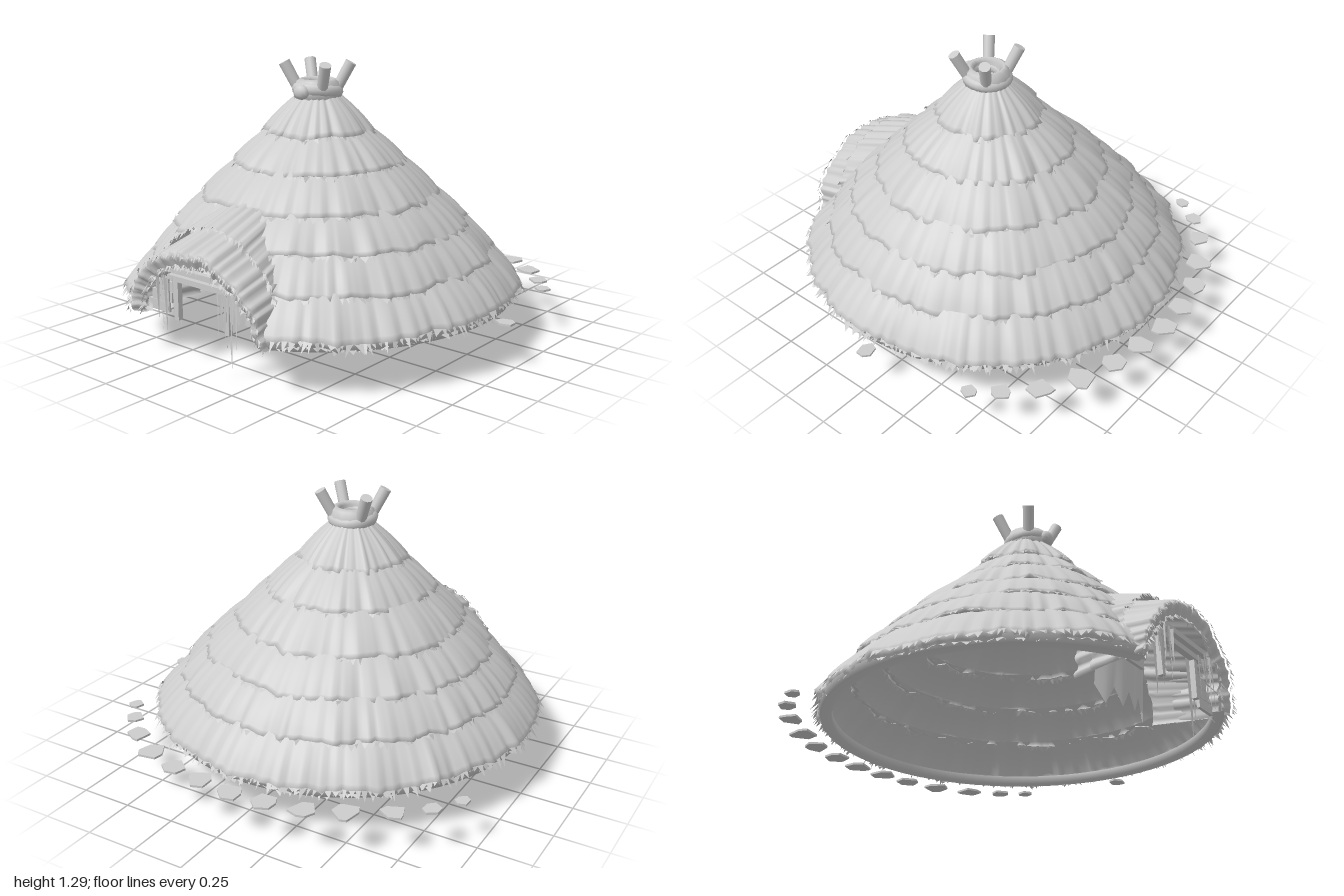
import * as THREE from 'three';

const CX = -0.03; // axis of the hut
const straw = new THREE.MeshStandardMaterial({ color: 0xcccccc, side: THREE.DoubleSide });
straw.name = 'pale grey';

const V = (x, y, z) => new THREE.Vector3(x, y, z);
const mix = THREE.MathUtils.lerp;
const hash = n => { const s = Math.sin(n * 127.1 + 11.7) * 43758.5453; return s - Math.floor(s); };
let seed = 7;
const rand = () => hash(seed++);

// smooth periodic noise, n cells over t = 0..1
function noise(t, n, k) {
  const f = t * n, i = Math.floor(f), s = f - i, w = s * s * (3 - 2 * s);
  return mix(hash((i % n) + k * 57), hash(((i + 1) % n) + k * 57), w) - 0.5;
}
// overlapping bundles: each one rises towards one side
const bundle = (t, n) => (t * n) % 1 - 0.5;

function add(group, name, geometry) {
  const m = new THREE.Mesh(geometry, straw);
  m.name = name;
  group.add(m);
  return m;
}

// surface from a rule: fn(u, v) gives a point
function sheet(fn, nu, nv) {
  const g = new THREE.PlaneGeometry(1, 1, nu, nv), p = g.attributes.position, uv = g.attributes.uv;
  for (let i = 0; i < p.count; i++) {
    const q = fn(uv.getX(i), 1 - uv.getY(i));
    p.setXYZ(i, q.x, q.y, q.z);
  }
  g.computeVertexNormals();
  return g;
}

// row of loose straw tips along an edge; dir(t) is the way they point
function fringe(edge, dir, count, length) {
  const pts = [];
  for (let i = 0; i < count; i++) {
    const t = Math.min(0.995, (i + rand() * 0.6) / count), w = (0.5 + rand()) / count;
    const a = edge(t), b = edge(Math.min(1, t + w));
    const tip = a.clone().lerp(b, rand()).addScaledVector(dir(t), length * (0.35 + rand()));
    pts.push(a, b, tip);
  }
  const g = new THREE.BufferGeometry().setFromPoints(pts);
  g.computeVertexNormals();
  return g;
}

// hem radius, hem height, half angle left open for the doorway
const tiers = [
  [0.09, 1.14, 0], [0.262, 0.96, 0], [0.412, 0.82, 0], [0.56, 0.67, 0],
  [0.695, 0.535, 0], [0.815, 0.395, 0.33], [0.935, 0.245, 0.4],
];

function roof() {
  const g = new THREE.Group();
  g.name = 'thatchedRoof';
  for (let i = 1; i < tiers.length; i++) {
    const [r0, y0] = tiers[i - 1], [r1, y1, gap] = tiers[i];
    const last = i === tiers.length - 1, cz = mix(0.115, 0.08, i / 6);
    const n = Math.round(14 + r1 * 50);
    const point = (u, v) => {
      const a = mix(gap, Math.PI * 2 - gap, u), s = Math.min(1, v / 0.8), under = Math.max(0, (v - 0.8) / 0.2);
      const rough = (0.016 * bundle(u, n) + 0.022 * noise(u, n, i) + 0.012 * noise(u, n * 3, i + 9)) * (0.3 + 0.7 * s);
      const r = mix(r0 - (i > 1 ? 0.025 : 0), r1, s) + 0.012 * Math.sin(s * Math.PI) + rough - under * (last ? 0.025 : 0.035);
      const y = mix(y0 + (i > 1 ? 0.015 : 0), y1, s) + 0.025 * noise(u, n, i + 20) * s - under * (last ? 0.035 : 0.012);
      return V(CX + r * Math.sin(a), y, cz + r * Math.cos(a));
    };
    add(g, 'thatchTier' + i, sheet(point, n * 5, 10));
    const out = t => {
      const a = mix(gap, Math.PI * 2 - gap, t) + (rand() - 0.5) * 0.8;
      return V(Math.sin(a) * 0.6, -0.8, Math.cos(a) * 0.6);
    };
    add(g, 'strawFringe' + i, fringe(t => point(t, 0.8), out, Math.round(n * 3.2), last ? 0.04 : 0.024));
    if (last) add(g, 'lowerFringe', fringe(t => point(t, 0.95), out, n * 3, 0.022));
  }
  // flat band under the eaves, open at the door
  const rim = [[0.865, 0.24], [0.865, 0.2], [0.915, 0.2], [0.925, 0.235]].map(p => new THREE.Vector2(...p));
  add(g, 'eavesBand', new THREE.LatheGeometry(rim, 96, 0.4, Math.PI * 2 - 0.8)).position.set(CX, 0, 0.08);
  return g;
}

// arched hood over the doorway, two overlapping layers and a rolled front edge
function porch() {
  const g = new THREE.Group();
  g.name = 'porchHood';
  const arch = (u, w, h, z, k) => {
    const a = Math.PI * u, c = Math.cos(a), s = Math.sin(a);
    const rough = 0.02 * noise(u, 26, k) + 0.012 * noise(u, 80, k + 3) + 0.012 * bundle(u, 22);
    return V(CX + (w + rough) * c, 0.2 + (h + rough) * s, z);
  };
  const lower = (u, v) => {
    const s = Math.min(1, v / 0.7), roll = Math.max(0, (v - 0.7) / 0.3), top = Math.sin(Math.PI * u);
    const z = mix(0.68, 0.945 + 0.04 * top, s) - roll * 0.035 + 0.015 * noise(u, 40, 5) * s;
    return arch(u, mix(0.37, 0.405, s) - 0.07 * roll, mix(0.44, 0.345, s) - 0.065 * roll, z, 40);
  };
  const upper = (u, v) => arch(u, mix(0.33, 0.40, v), mix(0.52, 0.43, v), mix(0.58, 0.83, v) + 0.02 * noise(u, 30, 8), 50);
  add(g, 'hoodFront', sheet(lower, 120, 12));
  add(g, 'hoodBack', sheet(upper, 120, 8));
  const dir = t => {
    const a = Math.PI * t;
    return V(Math.cos(a) * 0.3 + (rand() - 0.5) * 0.5, -0.7, 0.45);
  };
  add(g, 'hoodFringe', fringe(t => lower(t, 0.7), dir, 120, 0.03));
  add(g, 'hoodInnerFringe', fringe(t => lower(t, 0.95), dir, 100, 0.035));
  add(g, 'hoodBackFringe', fringe(t => upper(t, 1), dir, 90, 0.03));
  return g;
}

function doorway() {
  const g = new THREE.Group();
  g.name = 'doorway';
  const box = (name, x, y, z, w, h, d) => add(g, name, new THREE.BoxGeometry(w, h, d)).position.set(x, y, z);
  box('upperLintel', CX, 0.433, 0.9, 0.46, 0.025, 0.03);
  box('lowerLintel', CX, 0.392, 0.89, 0.4, 0.025, 0.03);
  for (const s of [-1, 1]) {
    box('doorPost', CX + s * 0.155, 0.3, 0.885, 0.025, 0.2, 0.025);
    for (const y of [0.225, 0.275, 0.325]) {
      box('sidePlank', CX + s * (0.43 - y * 0.5), y, 0.85, 0.13, 0.048, 0.015);
    }
    // torn strips hanging beside the door
    const hang = (z, n, len) => add(g, 'tornStrips', fringe(
      t => V(CX + s * mix(0.145, 0.225, t), 0.4, z + 0.02 * noise(t, 8, s + 3)),
      () => V((rand() - 0.5) * 0.06, -1, 0), n, len));
    hang(0.94, 9, 0.2);
    hang(0.91, 7, 0.2);
  }
  // longest single strips
  for (const [x, y] of [[0.115, 0.02], [0.12, 0.0], [-0.19, 0.11], [0.15, 0.1]]) {
    const strip = new THREE.BufferGeometry().setFromPoints([V(x - 0.012, 0.4, 0.86), V(x, y, 0.865), V(x + 0.012, 0.4, 0.87)]);
    strip.computeVertexNormals();
    add(g, 'longStrip', strip);
  }
  // bowed curtain with a torn lower edge
  add(g, 'doorCurtain', sheet((u, v) => {
    const x = mix(-0.2, 0.2, u), tooth = Math.abs((u * 5) % 1 - 0.5);
    return V(CX + x, mix(0.42, 0.14 + 0.16 * tooth, v), 0.69 - x * x * 2 - v * 0.02);
  }, 40, 4));
  return g;
}

// crown of the roof: binding collar and four pole ends
function crown() {
  const g = new THREE.Group();
  g.name = 'crown';
  const ring = [[0.075, 1.08], [0.108, 1.11], [0.115, 1.15], [0.1, 1.195], [0.08, 1.205], [0.062, 1.19], [0.06, 1.1]];
  add(g, 'collar', new THREE.LatheGeometry(ring.map(p => new THREE.Vector2(...p)), 16));
  const rope = add(g, 'binding', new THREE.TorusGeometry(0.088, 0.033, 10, 24));
  rope.rotation.x = Math.PI / 2 - 0.12;
  rope.position.y = 1.15;
  const knot = add(g, 'knot', new THREE.SphereGeometry(0.035, 10, 8));
  knot.position.set(0, 1.15, 0.115);
  knot.scale.set(1.2, 1, 0.8);
  for (const sx of [-1, 1]) for (const sz of [-1, 1]) {
    const a = V(sx * 0.06, 1.13, sz * 0.045), b = V(sx * 0.125, 1.28, sz * 0.092);
    const pole = add(g, 'poleEnd', new THREE.CylinderGeometry(0.028, 0.026, a.distanceTo(b), 10));
    pole.position.copy(a).lerp(b, 0.5);
    pole.quaternion.setFromUnitVectors(V(0, 1, 0), b.sub(a).normalize());
  }
  g.position.set(CX, 0, 0.12);
  return g;
}

// flat stones lying around the back
function stones() {
  const g = new THREE.Group();
  g.name = 'stones';
  const spots = [
    [-0.92, -0.49, 0.034], [-0.835, -0.61, 0.043], [-0.705, -0.715, 0.053], [-0.54, -0.82, 0.062], [-0.37, -0.89, 0.06],
    [-0.2, -0.93, 0.06], [-0.025, -0.94, 0.06], [0.14, -0.92, 0.06], [0.305, -0.89, 0.062], [0.48, -0.83, 0.062],
    [0.64, -0.735, 0.058], [0.765, -0.615, 0.045], [0.85, -0.505, 0.036], [0.95, 0.015, 0.042],
  ];
  spots.forEach(([x, z, r]) => {
    const outline = [];
    for (let k = 0; k < 6; k++) {
      const a = (k + rand() * 0.6) * Math.PI / 3, q = r * (0.85 + 0.3 * rand());
      outline.push(new THREE.Vector2(q * Math.cos(a), q * Math.sin(a)));
    }
    const stone = add(g, 'stone', new THREE.ExtrudeGeometry(new THREE.Shape(outline), { depth: 0.01, bevelEnabled: false }));
    stone.rotation.x = -Math.PI / 2;
    stone.position.set(x, 0.197, z);
  });
  return g;
}

export function createModel() {
  const model = new THREE.Group();
  model.name = 'thatchedHut';
  model.add(roof(), porch(), doorway(), crown(), stones());
  return model;
}
